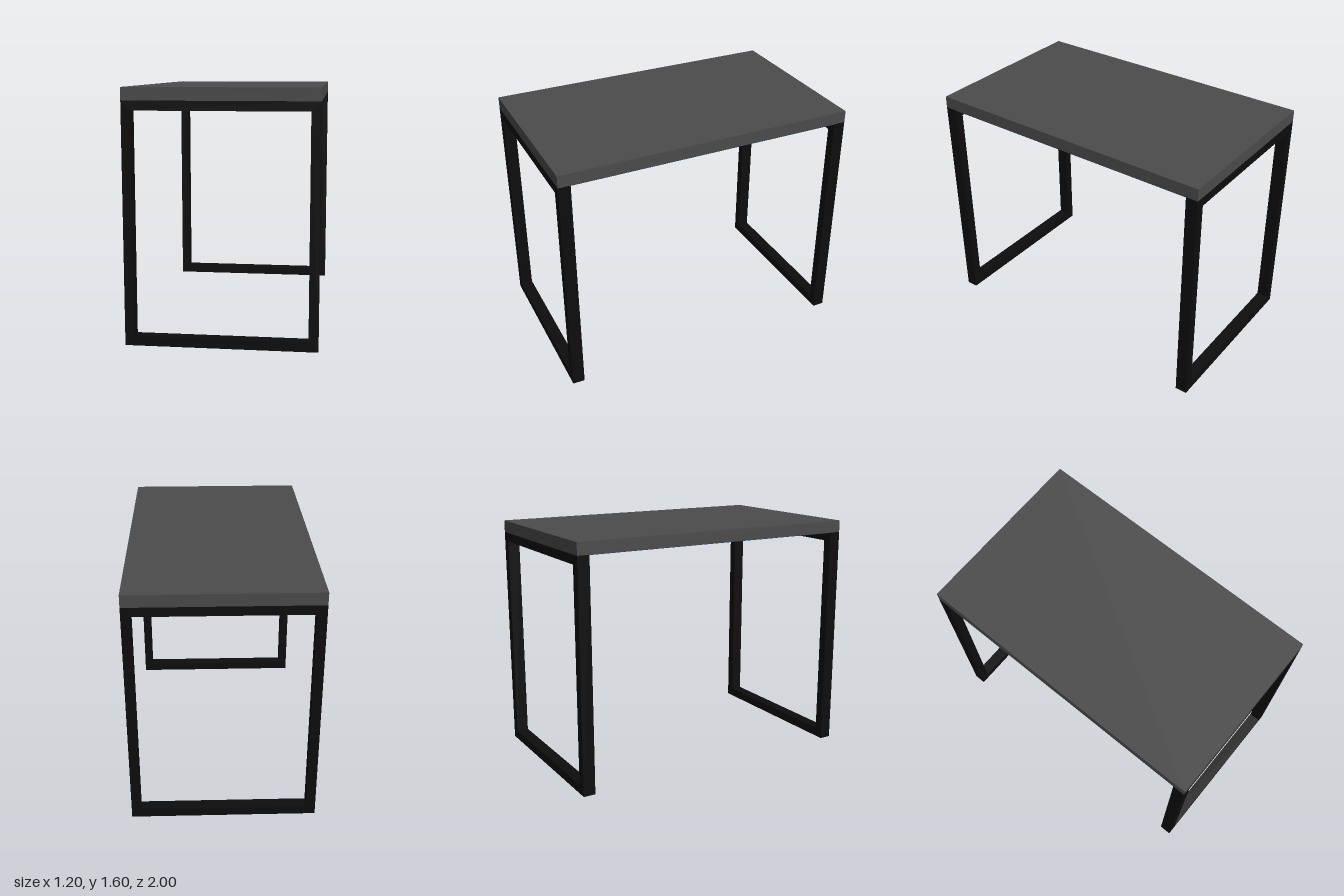
import * as THREE from 'three';

const WIDTH = 1.2, LENGTH = 2, HEIGHT = 1.6;
const TOP = 0.08;               // tabletop thickness
const BAR = 0.06, DEPTH = 0.08; // leg bar section
const UNDER = HEIGHT - TOP;     // underside of the tabletop

export function createModel() {
  const model = new THREE.Group();
  model.name = 'table';

  const topMaterial = new THREE.MeshStandardMaterial({ color: 0x4b4b4b });
  const frameMaterial = new THREE.MeshStandardMaterial({ color: 0x0d0d0d });
  const stripMaterial = new THREE.MeshStandardMaterial({ color: 0x0b3f7c });

  const add = (name, geometry, material, x, y, z) => {
    const mesh = new THREE.Mesh(geometry, material);
    mesh.name = name;
    mesh.position.set(x, y, z);
    model.add(mesh);
  };

  // Solid tabletop slab
  add('tabletop', new THREE.BoxGeometry(WIDTH, TOP, LENGTH), topMaterial, 0, HEIGHT - TOP / 2, 0);

  // Closed rectangular leg frame, one at each end
  const outline = new THREE.Shape([
    new THREE.Vector2(-WIDTH / 2, 0), new THREE.Vector2(WIDTH / 2, 0),
    new THREE.Vector2(WIDTH / 2, UNDER), new THREE.Vector2(-WIDTH / 2, UNDER),
  ]);
  const inner = WIDTH / 2 - BAR;
  outline.holes.push(new THREE.Path([
    new THREE.Vector2(-inner, BAR), new THREE.Vector2(-inner, UNDER - BAR),
    new THREE.Vector2(inner, UNDER - BAR), new THREE.Vector2(inner, BAR),
  ]));
  const frame = new THREE.ExtrudeGeometry(outline, { depth: DEPTH, bevelEnabled: false });
  frame.translate(0, 0, -DEPTH / 2);
  for (const [name, side] of [['frontLegFrame', 1], ['backLegFrame', -1]]) {
    add(name, frame, frameMaterial, 0, 0, side * (LENGTH - DEPTH) / 2);
  }

  // Thin dark panel and coloured edge strips under the top, between the frames
  const span = LENGTH - 2 * DEPTH, thin = 0.002;
  add('undersidePanel', new THREE.BoxGeometry(inner * 2, thin, span), frameMaterial, 0, UNDER - thin / 2, 0);
  const strip = new THREE.BoxGeometry(BAR, thin, span);
  for (const [name, side] of [['leftEdgeStrip', 1], ['rightEdgeStrip', -1]]) {
    add(name, strip, stripMaterial, side * (WIDTH - BAR) / 2, UNDER - thin / 2, 0);
  }

  return model;
}
